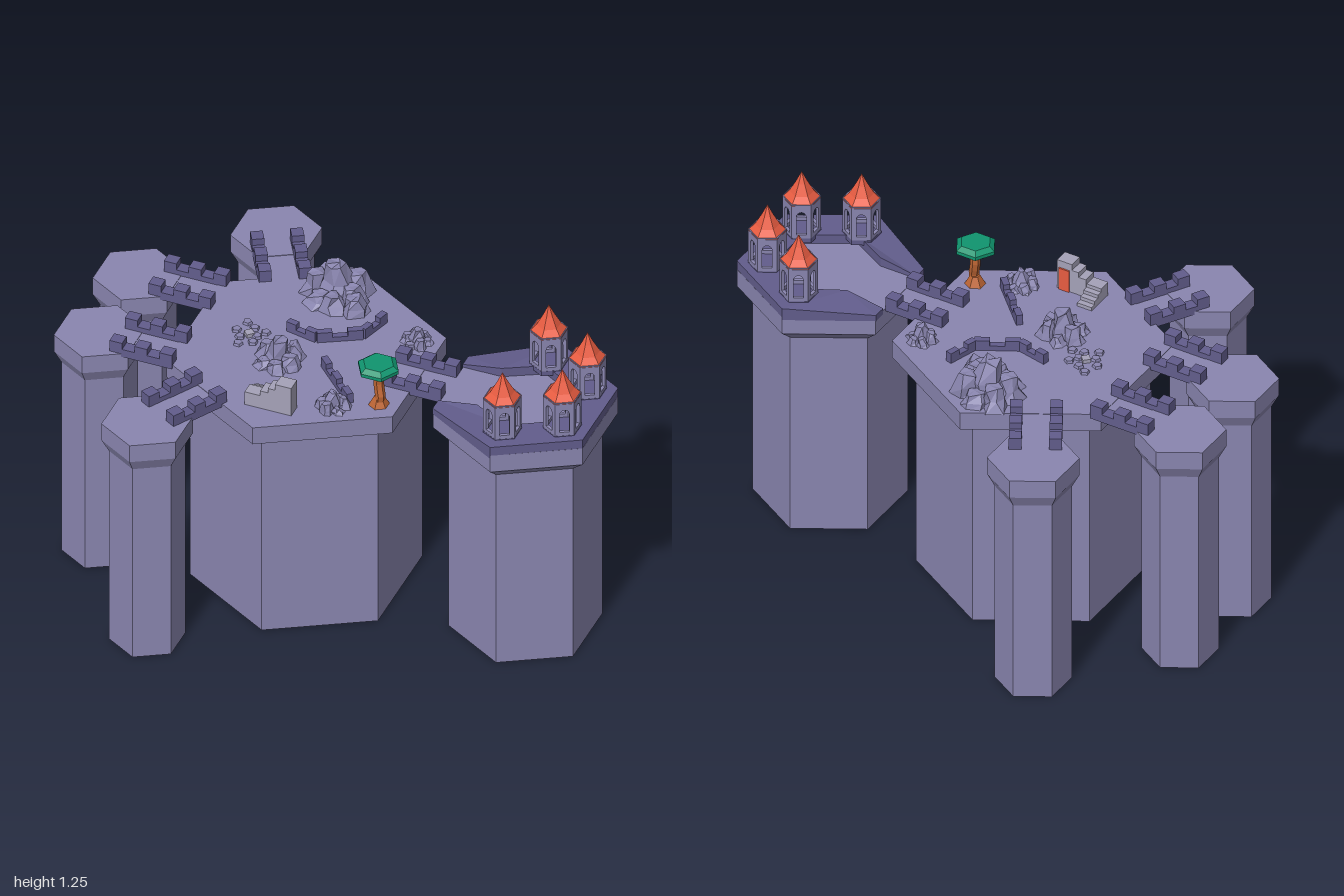
import * as THREE from 'three';

const mat = (color) => new THREE.MeshStandardMaterial({ color, flatShading: true, side: THREE.DoubleSide });

export function createModel() {
  const model = new THREE.Group();
  const stone = mat(0x8a86b0), dark = mat(0x625d8c), pale = mat(0xa5a2b8);
  const red = mat(0xe85c41), green = mat(0x10956f), bark = mat(0xbd6534);
  const floor = 0.963;

  const add = (name, geometry, material, x = 0, y = 0, z = 0, parent = model) => {
    const m = new THREE.Mesh(geometry, material);
    m.name = name;
    m.position.set(x, y, z);
    parent.add(m);
    return m;
  };
  const box = (name, x0, x1, y0, y1, z0, z1, material, parent) =>
    add(name, new THREE.BoxGeometry(x1 - x0, y1 - y0, z1 - z0), material,
      (x0 + x1) / 2, (y0 + y1) / 2, (z0 + z1) / 2, parent);
  const lathe = (pts) => new THREE.LatheGeometry(pts.map((p) => new THREE.Vector2(...p)), 6);

  // Hexagonal columns with a flared rim
  const column = (name, x, z, r, R) =>
    add(name, lathe([[0, 0], [r, 0], [r, 0.84], [R, 0.89], [R, floor], [0, floor]]), stone, x, 0, z);
  column('mainPlatform', -0.135, 0, 0.418, 0.503);
  column('keepPlatform', 0.71, 0, 0.277, 0.333);
  for (const s of [-1, 1]) {
    column('innerPier', -0.857, s * 0.182, 0.138, 0.165);
    column('outerPier', -0.5, s * 0.603, 0.138, 0.165);
  }

  // Battlemented wall between two points: low base with alternating merlons
  const wall = (name, x1, z1, x2, z2, n, w, top = 1.01, base = 0.95) => {
    const g = new THREE.Group(), L = Math.hypot(x2 - x1, z2 - z1);
    g.name = name;
    g.position.set((x1 + x2) / 2, 0, (z1 + z2) / 2);
    g.rotation.y = -Math.atan2(z2 - z1, x2 - x1);
    box('wallBase', -L / 2, L / 2, base, 0.983, -w / 2, w / 2, dark, g);
    for (let i = 0; i < n; i += 2) {
      const a = -L / 2 + (i * L) / n;
      box('merlon', a, a + L / n, 0.983, top, -w / 2, w / 2, dark, g);
    }
    model.add(g);
  };

  // Bridges: a deck flanked by two battlemented walls
  const bridge = (x, z, angle, length) => {
    const c = Math.cos(angle), s = Math.sin(angle), h = length / 2;
    const deck = box('bridgeDeck', -h, h, 0.943, 0.961, -0.07, 0.07, stone);
    deck.position.set(x, 0.952, z);
    deck.rotation.y = -angle;
    for (const o of [-0.072, 0.072]) {
      const px = x - s * o, pz = z + c * o;
      wall('bridgeWall', px - c * h, pz - s * h, px + c * h, pz + s * h, 5, 0.045);
    }
  };
  bridge(0.305, 0, 0, 0.235);
  for (const s of [-1, 1]) {
    bridge(-0.66, s * 0.182, 0, 0.24);
    bridge(-0.42, s * 0.452, -s * Math.PI / 3, 0.24);
  }

  // Raised walkway round the keep, ramping down towards the bridge
  const half = [[0.42, 0.115], [0.42, 0.166], [0.71, 0.333], [0.998, 0.166]];
  const inner = [[0.88, 0.09], [0.71, 0.19], [0.57, 0.115]];
  const mirror = (a) => a.map(([x, z]) => [x, -z]).reverse();
  const ring = [...half, ...mirror(half), ...mirror(inner).slice(0, 3), ...inner];
  const walkway = new THREE.ExtrudeGeometry(
    new THREE.Shape(ring.map((p) => new THREE.Vector2(...p))), { depth: 0.05, bevelEnabled: false });
  const wp = walkway.attributes.position;
  for (let i = 0; i < wp.count; i++) {
    if (wp.getZ(i) > 0.01 && wp.getX(i) < 0.5) wp.setZ(i, 0.025);
  }
  walkway.rotateX(-Math.PI / 2);
  add('keepWalkway', walkway, dark, 0, 0.95, 0);

  // Open arched turrets with flared roofs
  const panel = new THREE.Shape([[-0.04, 0], [0.04, 0], [0.04, 0.165], [-0.04, 0.165]]
    .map((p) => new THREE.Vector2(...p)));
  const arch = new THREE.Path();
  arch.moveTo(-0.021, 0.035);
  arch.lineTo(-0.021, 0.112);
  arch.absarc(0, 0.112, 0.021, Math.PI, 0, true);
  arch.lineTo(0.021, 0.035);
  arch.closePath();
  panel.holes.push(arch);
  const panelGeo = new THREE.ExtrudeGeometry(panel, { depth: 0.012, bevelEnabled: false, curveSegments: 4 });
  panelGeo.scale(0.85, 1, 1);
  const roofGeo = lathe([[0, 1.143], [0.07, 1.143], [0.045, 1.17], [0.022, 1.21], [0, 1.255]]);
  for (const s of [-1, 1]) {
    for (const [x, z] of [[0.71, 0.217], [0.9, 0.118]]) {
      const turret = new THREE.Group();
      turret.name = 'turret';
      turret.position.set(x, 0, s * z);
      for (let i = 0; i < 6; i++) {
        const side = new THREE.Group();
        side.name = 'turretSide';
        side.rotation.y = Math.PI / 6 + (i * Math.PI) / 3;
        add('archedPanel', panelGeo, stone, 0, 0.983, 0.048, side);
        turret.add(side);
      }
      add('turretFloor', new THREE.CylinderGeometry(0.07, 0.07, 0.02, 6), dark, 0, 0.993, 0, turret);
      add('turretRoof', roofGeo, red, 0, 0, 0, turret);
      model.add(turret);
    }
  }

  // Ruined low walls on the main platform
  const ruins = [[-0.24, -0.085], [-0.12, -0.06], [0.025, -0.14], [0.06, -0.26]];
  for (let i = 0; i < 3; i++) wall('ruinedWall', ...ruins[i], ...ruins[i + 1], 3, 0.025, 1.005);
  wall('ruinedWall', -0.04, 0.065, 0.13, 0.235, 5, 0.025, 1.005);

  // Tapered rocks, roughened by a position-based jitter
  const rock = (x, z, r, h, lean = 0) => {
    const g = new THREE.CylinderGeometry(r * 0.5, r, h, 6, 2), p = g.attributes.position;
    for (let i = 0; i < p.count; i++) {
      const [a, b, c] = [p.getX(i), p.getY(i), p.getZ(i)];
      const j = (k) => Math.sin(Math.round(a * 1e4) * 0.37 + Math.round(b * 1e4) * 0.71
        + Math.round(c * 1e4) * 0.53 + k + x * 31) * r * 0.16;
      const t = b / h + 0.5;
      p.setXYZ(i, a + j(1) + lean * t, b + (b > 0 ? j(2) * 0.6 : 0), c + j(3));
    }
    add('rock', g, stone, x, floor + h / 2 - 0.005, z).rotation.y = 0;
  };
  // Each cluster is a tall centre rock surrounded by lower ones
  const cluster = (x, z, R, h, n) => {
    rock(x, z, R * 0.55, h);
    for (let i = 0; i < n; i++) {
      const a = (i / n) * Math.PI * 2 + x * 9, k = 0.35 + 0.3 * ((i * 3) % 4) / 3;
      rock(x + Math.cos(a) * R * 0.62, z + Math.sin(a) * R * 0.62, R * 0.4, h * k, -Math.cos(a) * R * 0.1);
    }
  };
  cluster(-0.16, -0.34, 0.135, 0.145, 7);
  rock(-0.06, -0.27, 0.055, 0.07);
  cluster(-0.2, 0.1, 0.1, 0.1, 6);
  cluster(0.215, -0.19, 0.065, 0.065, 6);
  cluster(0.08, 0.275, 0.07, 0.07, 6);

  // L-shaped ruined staircase with a red door behind its high end
  for (let i = 0; i < 4; i++) {
    box('lowerStep', -0.215, -0.155, floor - 0.01, floor + 0.014 * (i + 1), 0.27 + i * 0.022, 0.385, pale);
  }
  [1.04, 1.06].forEach((y, i) =>
    box('upperStep', -0.155 + i * 0.03, -0.095 + i * 0.03, floor - 0.01, y, 0.33, 0.385, pale));
  box('stairTop', -0.097, -0.035, floor - 0.01, 1.085, 0.33, 0.385, pale);
  box('door', -0.088, -0.044, floor, 1.055, 0.324, 0.332, red);

  // Scattered paving slabs round a pale centre stone
  for (let i = 0; i < 9; i++) {
    const a = i * 2.4, d = 0.03 + 0.006 * i;
    add('slab', new THREE.CylinderGeometry(0.016, 0.02, 0.012, 5), stone,
      -0.355 + Math.cos(a) * d, floor + 0.004, Math.sin(a) * d).rotation.y = a;
  }
  box('centreStone', -0.37, -0.34, floor, floor + 0.015, -0.015, 0.015, pale).rotation.y = Math.PI / 4;

  // Tree with a bent, flared trunk and a flat crown
  const bend = new THREE.CatmullRomCurve3([[0.225, 0.955, 0.2], [0.235, 1.0, 0.205],
    [0.225, 1.05, 0.197], [0.228, 1.11, 0.2]].map((p) => new THREE.Vector3(...p)));
  add('trunk', new THREE.TubeGeometry(bend, 6, 0.019, 6), bark);
  add('trunkFoot', new THREE.CylinderGeometry(0.018, 0.04, 0.04, 6), bark, 0.227, 0.98, 0.2);
  add('branches', new THREE.CylinderGeometry(0.035, 0.016, 0.03, 6), bark, 0.227, 1.095, 0.2);
  add('crown', lathe([[0, 1.105], [0.06, 1.105], [0.078, 1.118], [0.078, 1.132], [0.058, 1.147], [0, 1.147]]),
    green, 0.225, 0, 0.2).rotation.y = Math.PI / 6;

  return model;
}
